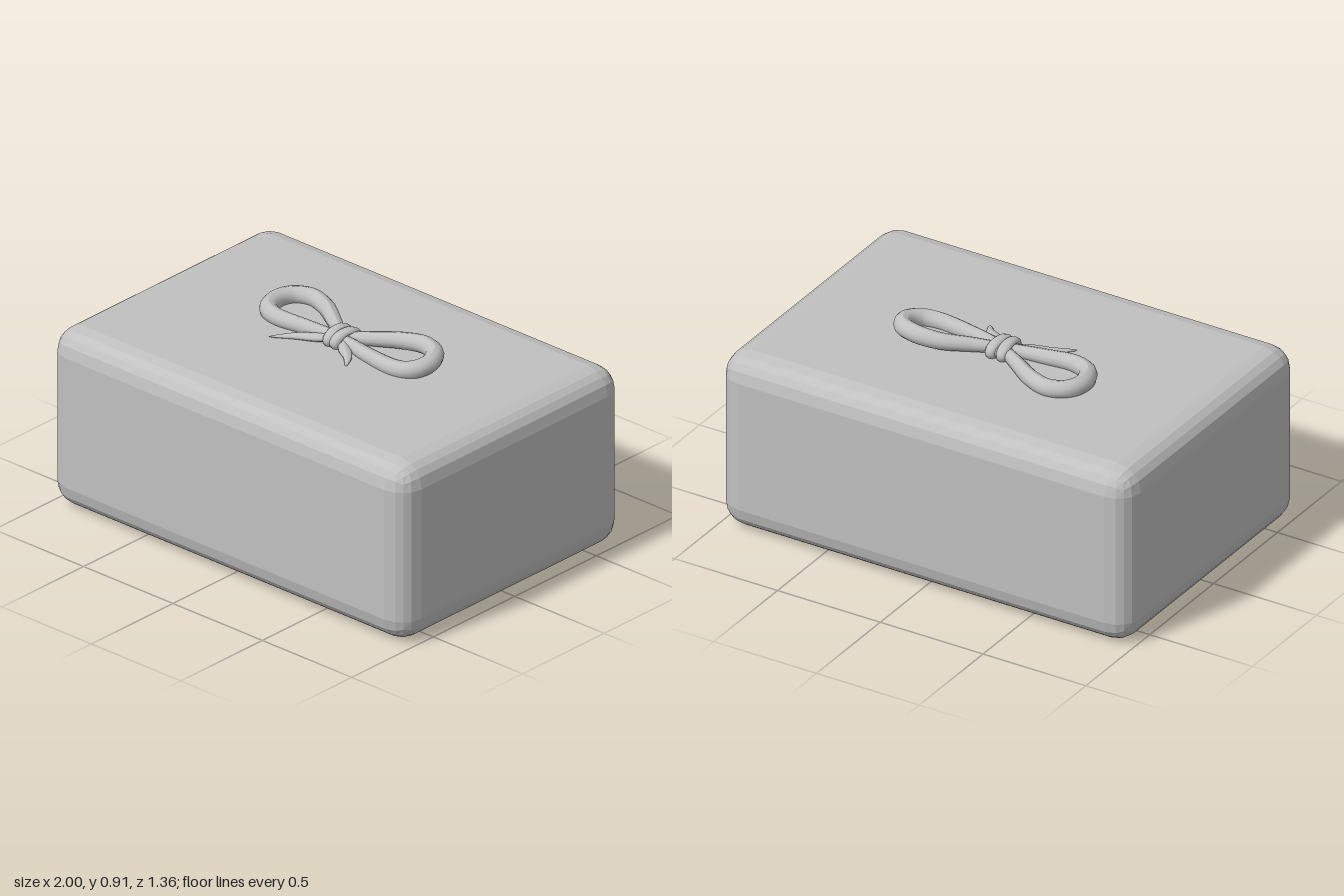
import * as THREE from 'three';
import { RoundedBoxGeometry } from 'three/addons/geometries/RoundedBoxGeometry.js';

const TOP = 0.82;

// Tube along a smooth curve whose thickness follows radiusAt(t), t from 0 to 1
function cord(points, radiusAt, segments, sides = 12, flatten = 1) {
  const curve = new THREE.CatmullRomCurve3(points.map(p => new THREE.Vector3(...p)));
  const geometry = new THREE.TubeGeometry(curve, segments, 1, sides);
  const pos = geometry.attributes.position;
  const v = new THREE.Vector3();
  for (let i = 0; i < pos.count; i++) {
    const t = Math.floor(i / (sides + 1)) / segments;
    const center = curve.getPointAt(t);
    v.fromBufferAttribute(pos, i).sub(center).multiplyScalar(radiusAt(t));
    v.y *= flatten;
    v.add(center);
    pos.setXYZ(i, v.x, v.y, v.z);
  }
  geometry.computeVertexNormals();
  return geometry;
}

export function createModel() {
  const group = new THREE.Group();
  const grey = new THREE.MeshStandardMaterial({ color: 0xc0c0c0, side: THREE.DoubleSide });
  grey.name = 'light grey';

  const add = (name, geometry, parent = group) => {
    const mesh = new THREE.Mesh(geometry, grey);
    mesh.name = name;
    parent.add(mesh);
    return mesh;
  };

  // Box with faceted, bevelled edges
  const box = new RoundedBoxGeometry(2, TOP, 1.36, 2, 0.11);
  box.computeVertexNormals();
  add('box', box).position.y = TOP / 2;

  const bow = new THREE.Group();
  bow.name = 'bow';
  group.add(bow);

  // Loops: thin at the knot, full at the outer bend
  const loopRadius = t => 0.022 + 0.018 * Math.pow(Math.sin(Math.PI * t), 0.6);
  add('rightLoop', cord([
    [-0.02, 0.84, -0.055], [-0.13, 0.843, -0.13], [-0.24, 0.843, -0.2], [-0.34, 0.842, -0.228],
    [-0.415, 0.842, -0.19], [-0.438, 0.842, -0.11], [-0.405, 0.842, -0.03], [-0.33, 0.842, 0.002],
    [-0.18, 0.84, -0.012], [-0.02, 0.84, -0.035],
  ], loopRadius, 48), bow);
  add('leftLoop', cord([
    [0.02, 0.845, -0.055], [0.12, 0.853, -0.105], [0.23, 0.862, -0.16], [0.34, 0.872, -0.177],
    [0.42, 0.87, -0.145], [0.447, 0.858, -0.075], [0.415, 0.845, -0.01], [0.35, 0.838, 0.014],
    [0.18, 0.836, 0.0], [0.02, 0.84, -0.03],
  ], loopRadius, 48), bow);

  // Loose ends, flattened and tapering to a point
  const tailRadius = t => 0.002 + 0.033 * Math.pow(1 - t, 0.5) * (0.6 + 0.4 * Math.sin(Math.PI * t));
  add('rightTail', cord([
    [-0.01, 0.84, -0.04], [-0.08, 0.835, 0.012], [-0.17, 0.829, 0.06], [-0.255, 0.823, 0.13],
  ], tailRadius, 20, 10, 0.6), bow);
  add('leftTail', cord([
    [0.01, 0.84, -0.04], [0.06, 0.835, 0.015], [0.12, 0.829, 0.06], [0.16, 0.823, 0.115],
  ], tailRadius, 20, 10, 0.6), bow);

  // Knot: core with two wraps around it
  const knot = new THREE.Group();
  knot.name = 'knot';
  knot.position.set(-0.007, 0.842, -0.042);
  bow.add(knot);
  add('knotCore', new THREE.SphereGeometry(1, 16, 10), knot).scale.set(0.05, 0.036, 0.07);
  for (const [x, turn] of [[-0.023, 0.06], [0.023, -0.08]]) {
    const wrap = add('knotWrap', new THREE.TorusGeometry(0.058, 0.026, 10, 24), knot);
    wrap.scale.y = 0.55;
    wrap.rotation.y = Math.PI / 2 + turn;
    wrap.position.x = x;
  }
  return group;
}
